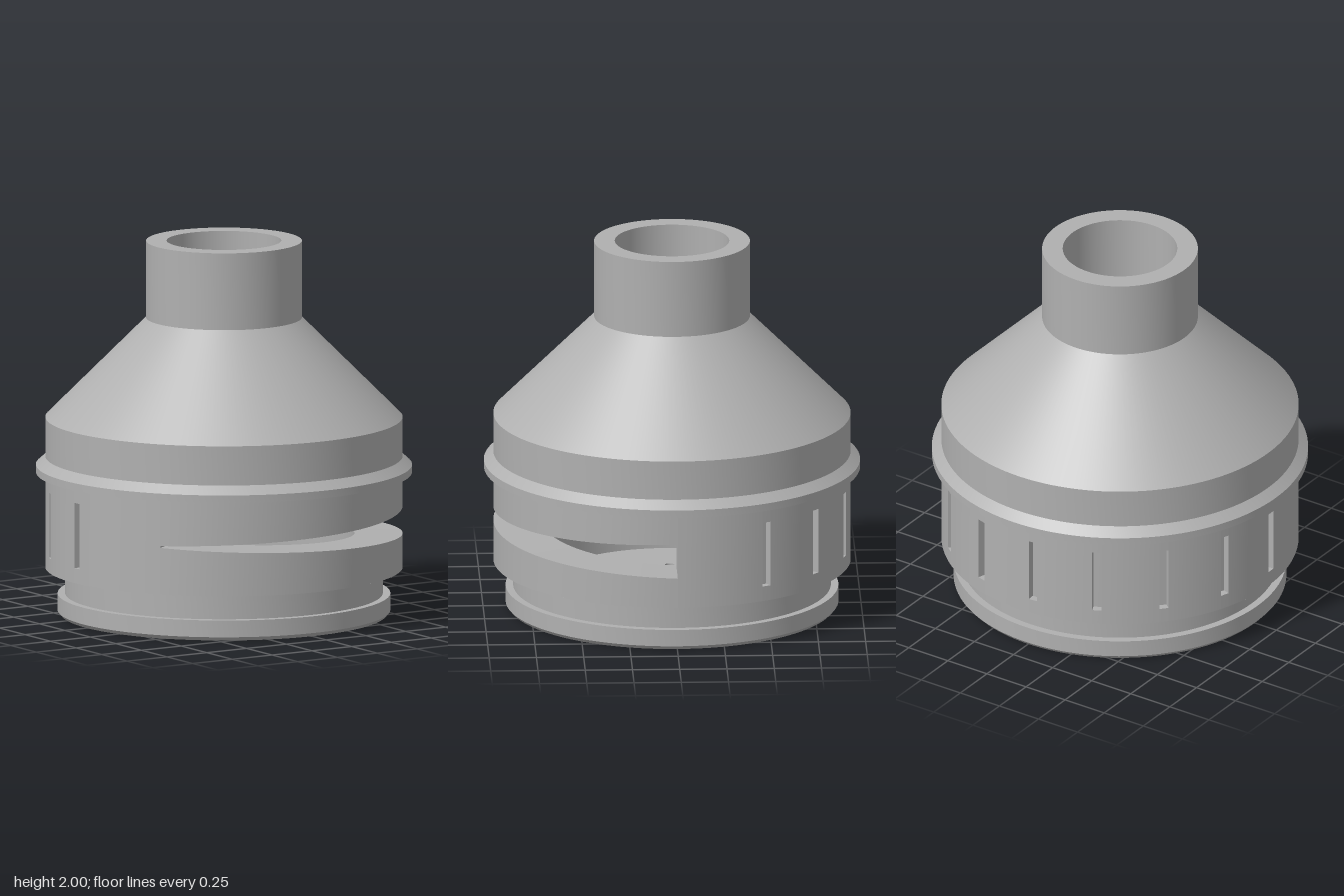
import * as THREE from 'three';
import { mergeGeometries, toCreasedNormals } from 'three/addons/utils/BufferGeometryUtils.js';

const DEG = Math.PI / 180;
const R_OUT = 0.945, R_IN = 0.69;       // wall of the hollow body
const BAND_LO = 0.25, BAND_HI = 0.76;   // height range of the pierced band
const GROOVE_END = 143.5 * DEG, GROOVE_Y = 0.505;

// Point at angle t, measured from +x toward +z
const polar = (r, t, y) => [r * Math.cos(t), y, r * Math.sin(t)];

// Ruled surface from f(u, v), facing along dv x du
function sheet(f, nu) {
  const pos = [], index = [];
  for (let i = 0; i <= nu; i++) {
    pos.push(...f(i / nu, 0), ...f(i / nu, 1));
    if (i < nu) {
      const a = i * 2;
      index.push(a, a + 1, a + 2, a + 1, a + 3, a + 2);
    }
  }
  const g = new THREE.BufferGeometry();
  g.setAttribute('position', new THREE.Float32BufferAttribute(pos, 3));
  g.setIndex(index);
  g.computeVertexNormals();
  return g;
}

const mix = THREE.MathUtils.lerp;
const steps = (t0, t1) => Math.max(2, Math.ceil(Math.abs(t1 - t0) / (2 * DEG)));

// Cylinder wall between two height functions; faces outward when t0 < t1
const wall = (r, t0, t1, lo, hi) => sheet((u, v) => {
  const t = mix(t0, t1, u);
  return polar(r, t, v ? hi(t) : lo(t));
}, steps(t0, t1));

// Ledge running radially from rA to rB; faces up when rA > rB
const ledge = (rA, rB, t0, t1, y) => sheet((u, v) => {
  const t = mix(t0, t1, u);
  return polar(v ? rB : rA, t, y(t));
}, steps(t0, t1));

// Upright radial wall; faces increasing t when rA > rB
const cheek = (rA, rB, t, lo, hi) =>
  sheet((u, v) => polar(mix(rA, rB, u), t, v ? hi : lo), 1);

// Floor, ceiling and two ends of an opening cut into the wall
const opening = (rDeep, t0, t1, lo, hi) => [
  ledge(R_OUT, rDeep, t0, t1, lo),
  ledge(rDeep, R_OUT, t0, t1, hi),
  cheek(R_OUT, rDeep, t0, lo(t0), hi(t0)),
  cheek(rDeep, R_OUT, t1, lo(t1), hi(t1)),
];

function bandGeometry() {
  const bottom = () => BAND_LO, top = () => BAND_HI;

  // Tapering groove that breaks through into the chamber
  const half = (t) => mix(0.094, 0.005, t / GROOVE_END);
  const gLo = (t) => GROOVE_Y - half(t), gHi = (t) => GROOVE_Y + half(t);
  const parts = [
    wall(R_OUT, 0, GROOVE_END, bottom, gLo),
    wall(R_OUT, 0, GROOVE_END, gHi, top),
    wall(R_IN, GROOVE_END, 0, bottom, gLo),
    wall(R_IN, GROOVE_END, 0, gHi, top),
    wall(R_IN, 2 * Math.PI, GROOVE_END, bottom, top),
    ...opening(R_IN, 0, GROOVE_END, gLo, gHi),
  ];

  // Shallow upright grip slots round the back
  const sLo = () => 0.33, sHi = () => 0.68, rSlot = 0.905, a = 0.026;
  let from = GROOVE_END;
  for (let k = 7; k >= 0; k--) {
    const t = 2 * Math.PI - (30 + 21.7 * k) * DEG;
    const t0 = t - a, t1 = t + a;
    parts.push(
      wall(R_OUT, from, t0, bottom, top),
      wall(R_OUT, t0, t1, bottom, sLo),
      wall(R_OUT, t0, t1, sHi, top),
      wall(rSlot, t0, t1, sLo, sHi),
      ...opening(rSlot, t0, t1, sLo, sHi),
    );
    from = t1;
  }
  parts.push(wall(R_OUT, from, 2 * Math.PI, bottom, top));
  return mergeGeometries(parts);
}

// Turned part with sharp edges
function turned(profile) {
  const points = profile.map(([r, y]) => new THREE.Vector2(r, y));
  return toCreasedNormals(new THREE.LatheGeometry(points, 128), 0.35);
}

// Base disc with a long slot and a pin hole
function baseGeometry() {
  const disc = new THREE.Shape().absarc(0, 0, 0.862, 0, Math.PI * 2);
  const w = 0.045, l = 0.4;
  disc.holes.push(
    new THREE.Path([[-w, -l], [-w, l], [w, l], [w, -l]].map(([x, y]) => new THREE.Vector2(x, y))),
    new THREE.Path().absarc(-0.37, 0, 0.025, 0, Math.PI * 2, true),
  );
  const g = new THREE.ExtrudeGeometry(disc, { depth: 0.11, bevelEnabled: false, curveSegments: 64 });
  return g.rotateX(-Math.PI / 2);
}

export function createModel() {
  const group = new THREE.Group();
  const grey = new THREE.MeshStandardMaterial({ color: 0xb0b0b0, side: THREE.DoubleSide });
  grey.name = 'grey';

  const add = (name, geometry) => {
    const mesh = new THREE.Mesh(geometry, grey);
    mesh.name = name;
    group.add(mesh);
  };

  add('baseDisc', baseGeometry());
  add('baseRim', turned([
    [0.862, 0], [0.88, 0.02], [0.88, 0.11], [0.84, 0.11], [0.84, BAND_LO], [R_OUT, BAND_LO],
  ]));
  add('chamberFoot', turned([[R_IN, BAND_LO], [R_IN, 0.11]]));
  add('groovedBand', bandGeometry());

  // Collar, shoulder cone and neck, then down the funnel bore to the chamber ceiling
  add('collarShoulderAndNeck', turned([
    [R_OUT, BAND_HI], [0.995, BAND_HI], [0.995, 0.80], [R_OUT, 0.845], [R_OUT, 1.055],
    [0.412, 1.588], [0.412, 2], [0.303, 2], [0.303, 1.3], [0.15, 1.0], [0.15, 0.85],
    [R_IN, 0.85], [R_IN, BAND_HI],
  ]));

  return group;
}
